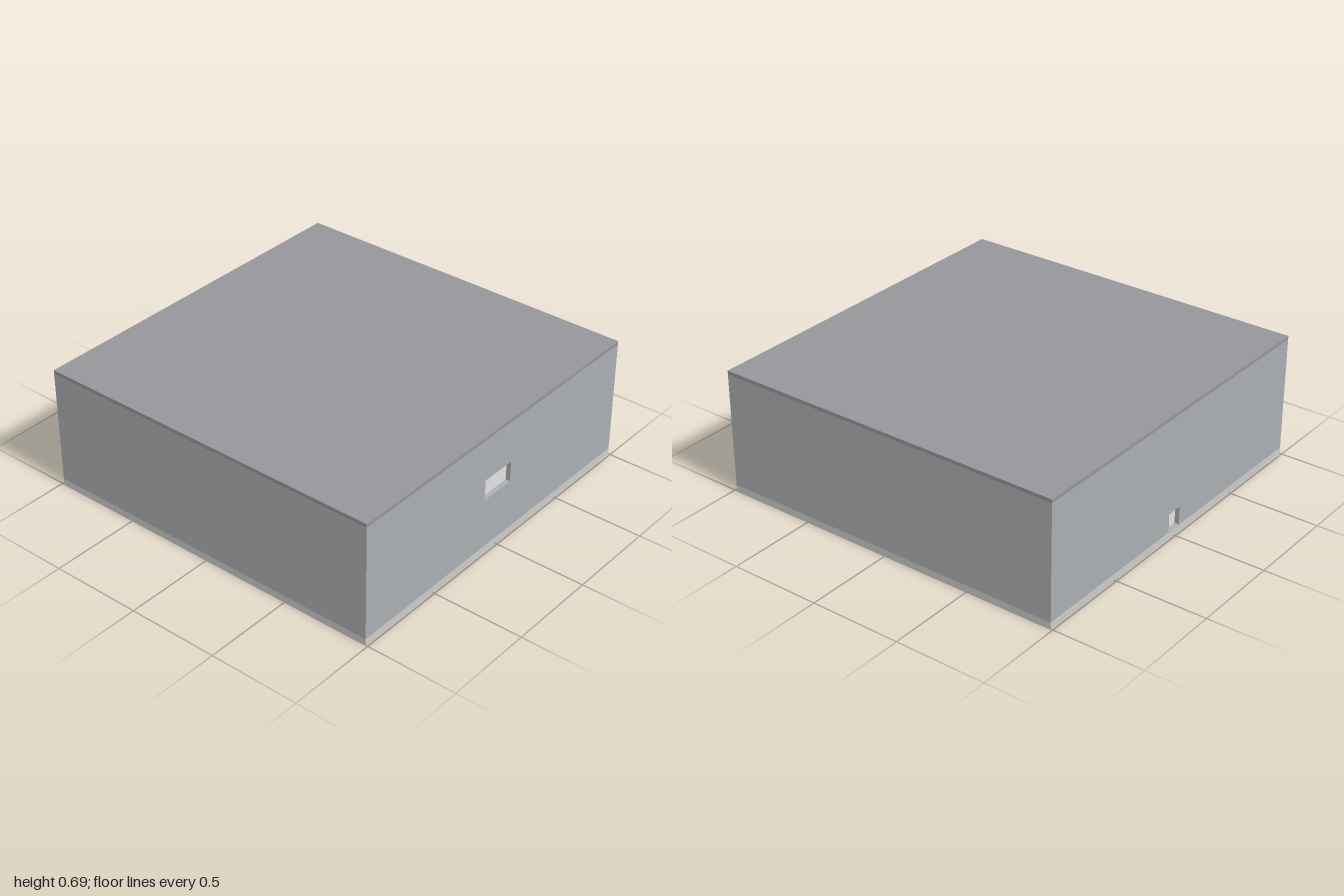
import * as THREE from 'three';

const W = 2, D = 1.975, H = 0.685;      // overall size
const BASE = 0.035, LID = 0.02, T = 0.025; // plate and wall thicknesses

export function createModel() {
  const group = new THREE.Group();
  const baseMat = new THREE.MeshStandardMaterial({ color: 0xcccccc });
  const wallMat = new THREE.MeshStandardMaterial({ color: 0xabaeb2 });
  const lidMat = new THREE.MeshStandardMaterial({ color: 0x97979b });
  const brassMat = new THREE.MeshStandardMaterial({ color: 0xd0a850 });

  const add = (name, geometry, material, x, y, z) => {
    const mesh = new THREE.Mesh(geometry, material);
    mesh.name = name;
    mesh.position.set(x, y, z);
    group.add(mesh);
    return mesh;
  };

  // Upright panel with a rectangular opening, extruded along z
  const wallH = H - BASE - LID;
  const panel = (x0, x1, y0, y1) => {
    const shape = new THREE.Shape([
      new THREE.Vector2(-W / 2, BASE), new THREE.Vector2(W / 2, BASE),
      new THREE.Vector2(W / 2, BASE + wallH), new THREE.Vector2(-W / 2, BASE + wallH),
    ]);
    shape.holes.push(new THREE.Path([
      new THREE.Vector2(x0, y0), new THREE.Vector2(x0, y1),
      new THREE.Vector2(x1, y1), new THREE.Vector2(x1, y0),
    ]));
    return new THREE.ExtrudeGeometry(shape, { depth: T, bevelEnabled: false });
  };

  // Base and lid plates
  add('basePlate', new THREE.BoxGeometry(W, BASE, D), baseMat, 0, BASE / 2, 0);
  add('lid', new THREE.BoxGeometry(W, LID, D), lidMat, 0, H - LID / 2, 0);

  // Front wall with the wide window, back wall with the small cable opening
  add('frontWall', panel(-0.105, 0.1, 0.315, 0.43), wallMat, 0, 0, D / 2 - T);
  add('backWall', panel(-0.045, 0.045, BASE + 0.002, 0.14), wallMat, 0, 0, -D / 2);

  // Side walls and the pair of brass posts inside
  for (const [side, s] of [['left', 1], ['right', -1]]) {
    add(side + 'Wall', new THREE.BoxGeometry(T, wallH, D - 2 * T), wallMat,
      s * (W / 2 - T / 2), BASE + wallH / 2, 0);
    add(side + 'Post', new THREE.BoxGeometry(0.025, 0.44, 0.025), brassMat,
      s * 0.08 - 0.002, BASE + 0.22, 0);
  }
  return group;
}
